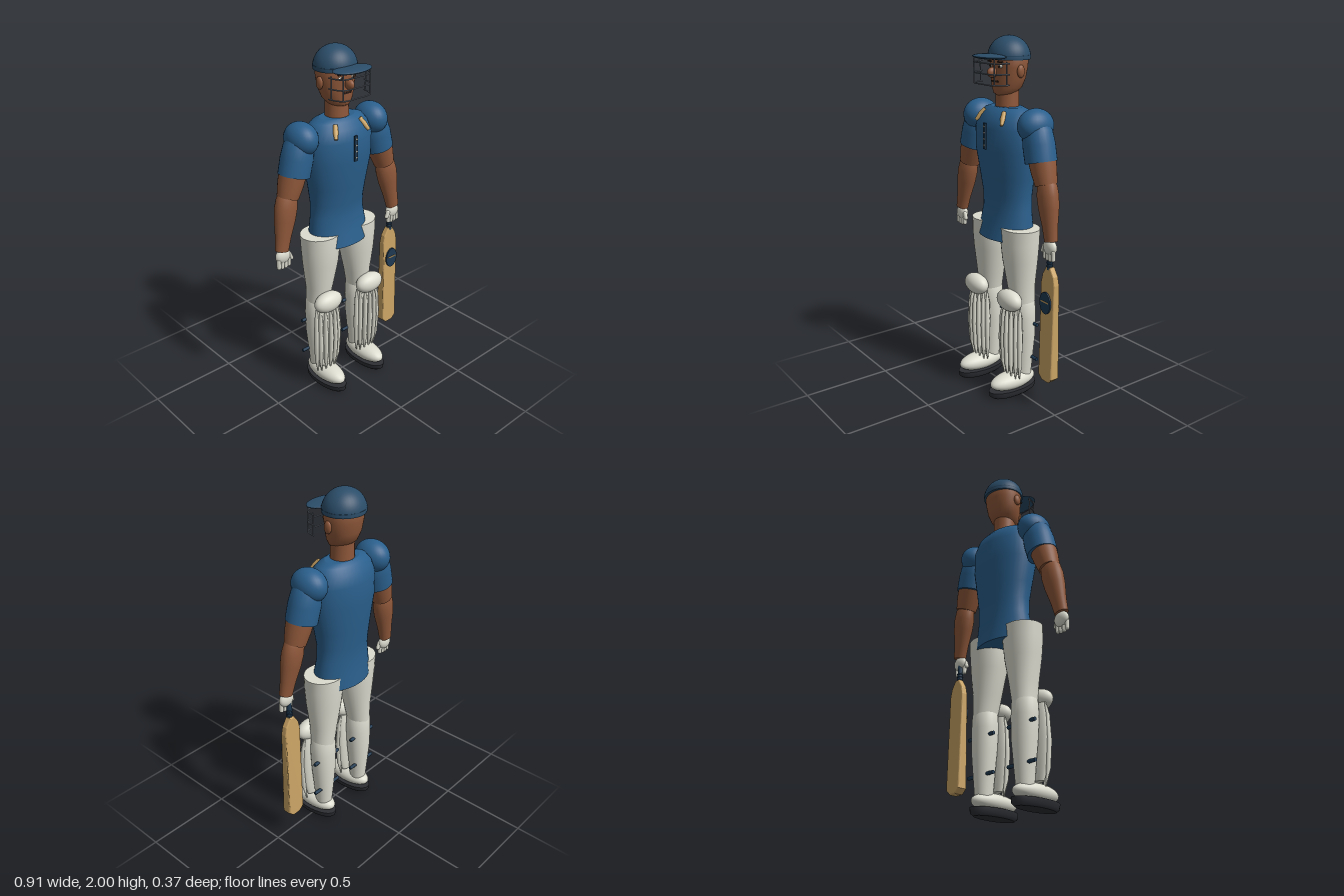
import * as THREE from 'three';

const mat = (name, color, side = THREE.FrontSide) => {
  const m = new THREE.MeshStandardMaterial({ color, side });
  m.name = name;
  return m;
};

// Stack of elliptical rings [y, rx, rz, x, z] from bottom to top, with flat caps
function loft(rings, seg = 28) {
  const pos = [], idx = [], n = rings.length;
  const addRing = ([y, rx, rz, x = 0, z = 0]) => {
    for (let i = 0; i < seg; i++) {
      const a = i / seg * Math.PI * 2;
      pos.push(x + Math.cos(a) * rx, y, z + Math.sin(a) * rz);
    }
  };
  rings.forEach(addRing);
  for (let j = 0; j < n - 1; j++) for (let i = 0; i < seg; i++) {
    const a = j * seg + i, b = j * seg + (i + 1) % seg;
    idx.push(a, a + seg, b, b, a + seg, b + seg);
  }
  [rings[0], rings[n - 1]].forEach((r, top) => {
    const s = pos.length / 3;
    addRing(r);
    pos.push(r[3] || 0, r[0], r[4] || 0);
    for (let i = 0; i < seg; i++) {
      const p = s + i, q = s + (i + 1) % seg;
      idx.push(s + seg, top ? q : p, top ? p : q);
    }
  });
  const g = new THREE.BufferGeometry();
  g.setAttribute('position', new THREE.Float32BufferAttribute(pos, 3));
  g.setIndex(idx);
  g.computeVertexNormals();
  return g;
}

export function createModel() {
  const root = new THREE.Group();
  root.name = 'batsman';
  const shirt = mat('shirt blue', 0x2a5f8c), helmetBlue = mat('helmet blue', 0x2b4d69);
  const navy = mat('dark navy', 0x1f3a52), skin = mat('skin', 0x8f583a);
  const white = mat('off white', 0xdcdcd0), wood = mat('willow gold', 0xcca566);
  const sole = mat('sole black', 0x2d2f34), steel = mat('grille steel', 0x626a74);
  const dark = mat('dark features', 0x2a1c16);

  const add = (parent, name, geo, material, x = 0, y = 0, z = 0) => {
    const m = new THREE.Mesh(geo, material);
    m.name = name;
    m.position.set(x, y, z);
    parent.add(m);
    return m;
  };
  const ball = (parent, name, material, x, y, z, rx, ry, rz) => {
    const m = add(parent, name, new THREE.SphereGeometry(1, 28, 18), material, x, y, z);
    m.scale.set(rx, ry, rz);
    return m;
  };
  // Tapered limb between two points; profile is [fraction, radius] pairs
  const limb = (parent, name, material, from, to, profile, flat = 1) => {
    const a = new THREE.Vector3(...from), d = new THREE.Vector3(...to).sub(a), len = d.length();
    const m = add(parent, name, loft(profile.map(([t, r]) => [t * len, r, r * flat])), material, ...from);
    m.quaternion.setFromUnitVectors(new THREE.Vector3(0, 1, 0), d.normalize());
    return m;
  };
  const tube = (parent, name, material, pts, r) => add(parent, name, new THREE.TubeGeometry(
    new THREE.CatmullRomCurve3(pts.map(p => new THREE.Vector3(...p)), false, 'centripetal'), 24, r, 6), material);

  // Torso and shirt details
  add(root, 'torso', loft([
    [0.905, 0.19, 0.13, 0, -0.04], [0.98, 0.186, 0.118, 0, -0.045], [1.07, 0.172, 0.108, 0, -0.05],
    [1.15, 0.169, 0.113, 0, -0.05], [1.25, 0.183, 0.125, 0, -0.047], [1.4, 0.212, 0.142, 0, -0.043],
    [1.52, 0.21, 0.143, 0, -0.043], [1.58, 0.188, 0.122, 0, -0.045], [1.615, 0.16, 0.092, 0, -0.045],
    [1.63, 0.11, 0.07, 0, -0.045]], 40), shirt);
  add(root, 'placket', new THREE.BoxGeometry(0.02, 0.14, 0.009), navy, 0, 1.48, 0.103);
  for (let i = 0; i < 4; i++) ball(root, 'button', white, 0, 1.43 + i * 0.034, 0.108, 0.005, 0.005, 0.003);

  // Neck and head
  add(root, 'neck', loft([[1.59, 0.067, 0.064, 0, -0.045], [1.73, 0.062, 0.062, 0, -0.048]]), skin);
  add(root, 'head', loft([
    [1.69, 0.035, 0.035, 0, -0.02], [1.7, 0.058, 0.058, 0, -0.028], [1.73, 0.083, 0.079, 0, -0.044],
    [1.78, 0.1, 0.09, 0, -0.053], [1.84, 0.111, 0.095, 0, -0.057], [1.9, 0.113, 0.1, 0, -0.058],
    [1.95, 0.08, 0.07, 0, -0.058]], 36), skin);
  ball(root, 'nose', skin, 0, 1.812, 0.052, 0.02, 0.028, 0.032);
  add(root, 'mouth', new THREE.BoxGeometry(0.055, 0.009, 0.008), dark, 0, 1.765, 0.034);

  // Helmet shell, rim, peak and grille
  const dome = add(root, 'helmetShell',
    new THREE.SphereGeometry(1, 36, 16, 0, Math.PI * 2, 0, Math.PI / 2), helmetBlue, 0, 1.885, -0.058);
  dome.scale.set(0.12, 0.115, 0.113);
  add(root, 'helmetRim', loft([[1.877, 0.118, 0.111, 0, -0.058], [1.9, 0.12, 0.113, 0, -0.058]], 36), helmetBlue);
  ball(root, 'helmetPeak', helmetBlue, 0, 1.895, 0.072, 0.119, 0.014, 0.07);
  for (const y of [1.865, 1.81, 1.755]) tube(root, 'grilleBar', steel,
    [[-0.122, y, 0.03], [-0.112, y, 0.075], [-0.085, y, 0.11], [0, y, 0.115],
      [0.085, y, 0.11], [0.112, y, 0.075], [0.122, y, 0.03]], 0.004);

  for (const s of [-1, 1]) {
    add(root, 'grilleUpright', new THREE.CylinderGeometry(0.004, 0.004, 0.14, 6), steel, s * 0.092, 1.822, 0.105);
    add(root, 'grilleSideUpright', new THREE.CylinderGeometry(0.004, 0.004, 0.12, 6), steel, s * 0.118, 1.815, 0.045);
    ball(root, 'ear', skin, s * 0.113, 1.82, -0.05, 0.014, 0.034, 0.023);
    ball(root, 'eye', white, s * 0.04, 1.845, 0.03, 0.017, 0.009, 0.008);
    ball(root, 'pupil', dark, s * 0.04, 1.845, 0.037, 0.007, 0.008, 0.003);
    add(root, 'brow', new THREE.BoxGeometry(0.04, 0.008, 0.009), dark, s * 0.042, 1.867, 0.034);
    // Collar trim
    limb(root, 'collarTrim', wood, [s * 0.116, 1.55, 0.078], [s * 0.085, 1.612, 0.038],
      [[0, 0.009], [0.5, 0.015], [1, 0.012]], 0.9);

    // Arm
    ball(root, 'shoulder', shirt, s * 0.246, 1.555, -0.045, 0.082, 0.09, 0.105);
    limb(root, 'sleeve', shirt, [s * 0.302, 1.372, -0.04], [s * 0.252, 1.565, -0.045],
      [[0, 0.088], [0.45, 0.089], [0.8, 0.082], [1, 0.06]], 0.95);
    limb(root, 'upperArm', skin, [s * 0.35, 1.262, -0.037], [s * 0.305, 1.4, -0.04],
      [[0, 0.06], [0.5, 0.071], [1, 0.076]], 0.95);
    limb(root, 'forearm', skin, [s * 0.414, 0.975, -0.022], [s * 0.352, 1.285, -0.038],
      [[0, 0.04], [0.25, 0.047], [0.55, 0.062], [0.75, 0.066], [0.92, 0.06], [1, 0.045]], 0.8);

    // Gloved hand
    const hand = new THREE.Group();
    hand.name = 'glove';
    hand.position.set(s * 0.41, 0, -0.02);
    root.add(hand);
    ball(hand, 'palm', white, 0, 0.943, 0, 0.047, 0.043, 0.026);
    for (let i = 0; i < 4; i++) add(hand, 'finger', new THREE.CapsuleGeometry(0.0125, 0.04, 4, 10),
      white, -0.033 + i * 0.022, 0.904 - (i % 3 ? 0.004 : 0), 0.006);
    add(hand, 'thumb', new THREE.CapsuleGeometry(0.012, 0.03, 4, 10), white, -s * 0.044, 0.93, 0.008)
      .rotation.z = -s * 0.4;

    // Leg
    const leg = new THREE.Group();
    leg.name = 'leg';
    leg.position.x = s * 0.155;
    root.add(leg);
    add(leg, 'thigh', loft([
      [0.54, 0.066, 0.068, 0, -0.043], [0.65, 0.078, 0.079, -s * 0.01, -0.038],
      [0.8, 0.106, 0.095, -s * 0.018, -0.035], [0.9, 0.114, 0.104, -s * 0.02, -0.035],
      [0.98, 0.118, 0.104, -s * 0.02, -0.036]]), white);
    add(leg, 'shin', loft([
      [0.08, 0.045, 0.046, 0, -0.045], [0.2, 0.056, 0.056, 0, -0.046], [0.35, 0.072, 0.067, 0, -0.046],
      [0.47, 0.077, 0.07, 0, -0.043], [0.55, 0.072, 0.068, 0, -0.043], [0.585, 0.05, 0.05, 0, -0.043]]), white);
    add(leg, 'sole', loft([[0.005, 0.055, 0.135, 0, 0.028], [0.02, 0.07, 0.154, 0, 0.028],
      [0.048, 0.073, 0.157, 0, 0.028]]), sole);
    ball(leg, 'boot', white, 0, 0.085, 0.027, 0.067, 0.052, 0.15);

    // Leg guard: knee roll, backing, ribs and straps
    ball(leg, 'kneeRoll', white, s * 0.004, 0.58, 0.055, 0.093, 0.06, 0.054);
    add(leg, 'guardBacking', loft([[0.14, 0.06, 0.022, 0, 0.028], [0.22, 0.08, 0.03, 0, 0.03],
      [0.36, 0.09, 0.034, 0, 0.032], [0.48, 0.085, 0.032, 0, 0.032], [0.55, 0.07, 0.025, 0, 0.035]]), white);
    for (let i = -3; i <= 3; i++) {
      const a = i / 3 * 1.25, x = Math.sin(a) * 0.09, z = 0.028 + Math.cos(a) * 0.046;
      add(leg, 'guardRib', loft([[0.115, 0.003, 0.003, x * 0.8, z - 0.012], [0.2, 0.011, 0.013, x * 0.95, z - 0.004],
        [0.34, 0.014, 0.016, x, z], [0.48, 0.011, 0.013, x * 0.95, z - 0.003],
        [0.55, 0.004, 0.004, x * 0.85, z - 0.01]], 10), white);
    }
    for (const y of [0.22, 0.43]) add(leg, 'strap',
      new THREE.CylinderGeometry(0.01, 0.01, 0.2, 10), navy, 0, y, -0.068).rotation.z = Math.PI / 2;
  }

  // Bat: blade outline extruded, thinner toward the shoulders
  const bat = new THREE.Group();
  bat.name = 'bat';
  bat.position.set(0.4, 0, -0.033);
  root.add(bat);
  const half = [[0.022, 0.172], [0.047, 0.195], [0.047, 0.735], [0.038, 0.78], [0.012, 0.822]];
  const outline = new THREE.Shape([...half, ...half.slice().reverse().map(([x, y]) => [-x, y])]
    .map(p => new THREE.Vector2(...p)));
  const blade = new THREE.ExtrudeGeometry(outline,
    { depth: 0.036, bevelEnabled: true, bevelSize: 0.008, bevelThickness: 0.011, bevelSegments: 3 });
  blade.translate(0, 0, -0.018);
  const p = blade.attributes.position;
  for (let i = 0; i < p.count; i++)
    p.setZ(i, p.getZ(i) * (1 - 0.4 * THREE.MathUtils.smoothstep(p.getY(i), 0.5, 0.83)));
  blade.computeVertexNormals();
  add(bat, 'blade', blade, wood);
  add(bat, 'handle', new THREE.CylinderGeometry(0.014, 0.015, 0.13, 14), navy, 0, 0.88, 0.005);
  for (let i = 0; i < 3; i++) add(bat, 'gripRing', new THREE.TorusGeometry(0.015, 0.004, 6, 16),
    navy, 0, 0.835 + i * 0.018, 0.005).rotation.x = Math.PI / 2;
  // Plain painted oval with a stripe
  const oval = add(bat, 'ovalPanel', new THREE.CylinderGeometry(1, 1, 0.009, 32), navy, 0, 0.63, 0.031);
  oval.rotation.x = Math.PI / 2;
  oval.scale.set(0.043, 1, 0.062);
  add(bat, 'ovalStripe', new THREE.BoxGeometry(0.06, 0.006, 0.004), wood, 0, 0.637, 0.036);

  return root;
}
